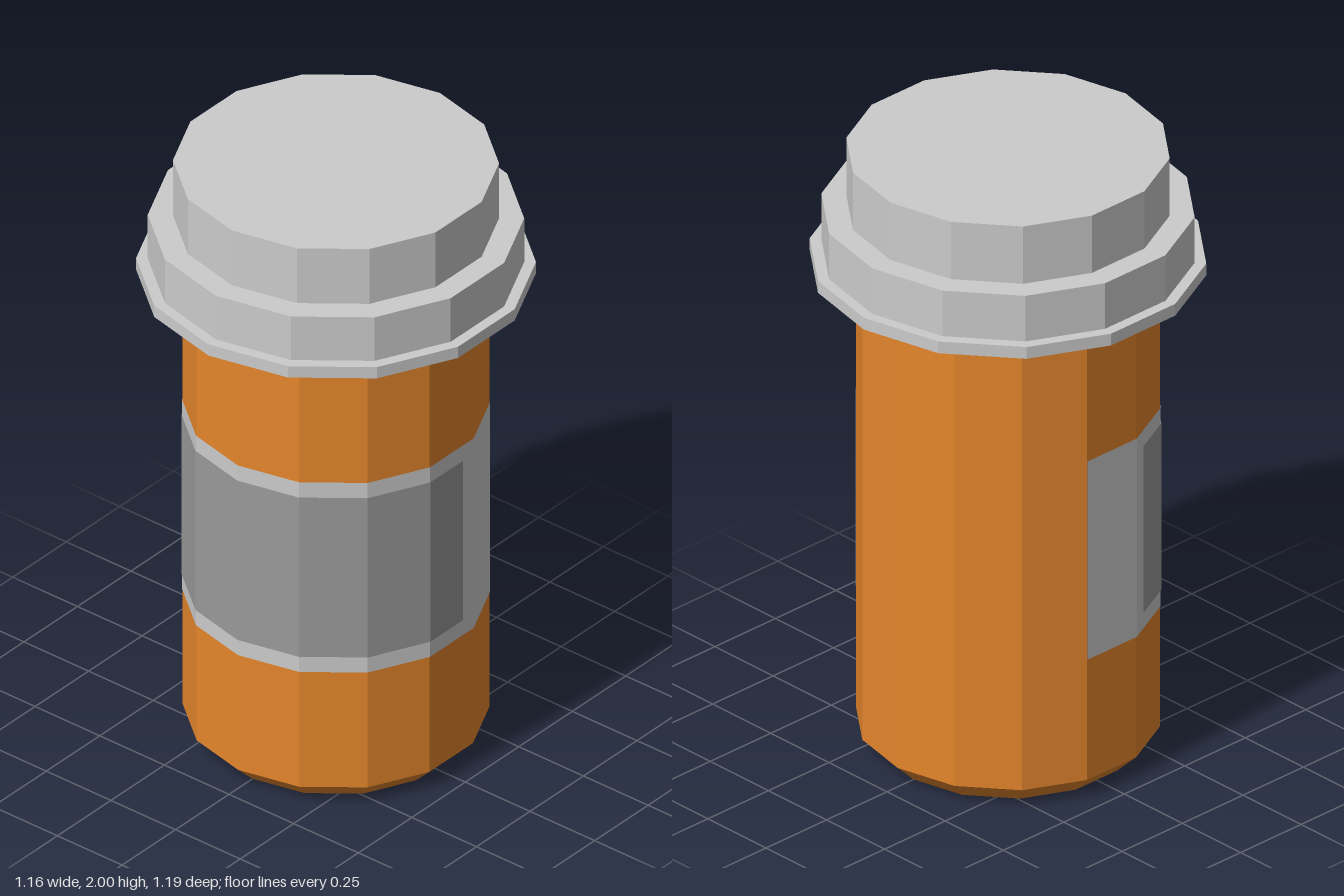
import * as THREE from 'three';

const SIDES = 14;
const RADIUS = 0.457;

const material = (color, side = THREE.FrontSide) =>
  new THREE.MeshStandardMaterial({ color, side, flatShading: true });

// Faceted turned part from [radius, height] pairs, listed bottom to top
function turned(name, profile, mat) {
  const points = profile.map(([r, y]) => new THREE.Vector2(r, y));
  const mesh = new THREE.Mesh(new THREE.LatheGeometry(points, SIDES), mat);
  mesh.name = name;
  return mesh;
}

// Point on the faceted wall; k counts corners from the front towards +x
function wallPoint(k, radius) {
  const corner = (i) => {
    const a = (i * Math.PI * 2) / SIDES;
    return new THREE.Vector2(Math.sin(a) * radius, Math.cos(a) * radius);
  };
  const k0 = Math.floor(k);
  return corner(k0).lerp(corner(k0 + 1), k - k0);
}

// Thin sheet that follows the facets from corner position k0 to k1
function wrap(name, k0, k1, y0, y1, offset, mat) {
  const stops = [k0];
  for (let k = Math.floor(k0) + 1; k < k1; k++) stops.push(k);
  stops.push(k1);
  const positions = [];
  const index = [];
  stops.forEach((k, i) => {
    const p = wallPoint(k, RADIUS + offset);
    positions.push(p.x, y0, p.y, p.x, y1, p.y);
    if (i > 0) {
      const a = 2 * (i - 1);
      index.push(a, a + 2, a + 3, a, a + 3, a + 1);
    }
  });
  const geometry = new THREE.BufferGeometry();
  geometry.setAttribute('position', new THREE.Float32BufferAttribute(positions, 3));
  geometry.setIndex(index);
  geometry.computeVertexNormals();
  const mesh = new THREE.Mesh(geometry, mat);
  mesh.name = name;
  return mesh;
}

export function createModel() {
  const group = new THREE.Group();
  group.name = 'pillBottle';
  const orange = material(0xe5862b);
  const grey = material(0xcccccc);

  // Bottle with a chamfered base and a collar under the cap
  group.add(turned('bottle', [
    [0, 0], [0.39, 0], [RADIUS, 0.065], [RADIUS, 1.56],
  ], orange));
  group.add(turned('collar', [
    [RADIUS, 1.555], [0.467, 1.565], [0.467, 1.612],
  ], orange));

  // Stepped cap: flange, skirt and crown
  group.add(turned('cap', [
    [0, 1.61], [0.596, 1.61], [0.596, 1.65], [0.561, 1.65],
    [0.561, 1.805], [0.486, 1.805], [0.486, 2], [0, 2],
  ], grey));

  // Label and its darker printed panel
  group.add(wrap('label', -4, 5, 0.475, 1.15, 0.002,
    material(0xcccccc, THREE.DoubleSide)));
  group.add(wrap('labelPanel', -2.75, 3.75, 0.53, 1.097, 0.004,
    material(0x9a9a9a, THREE.DoubleSide)));

  return group;
}
